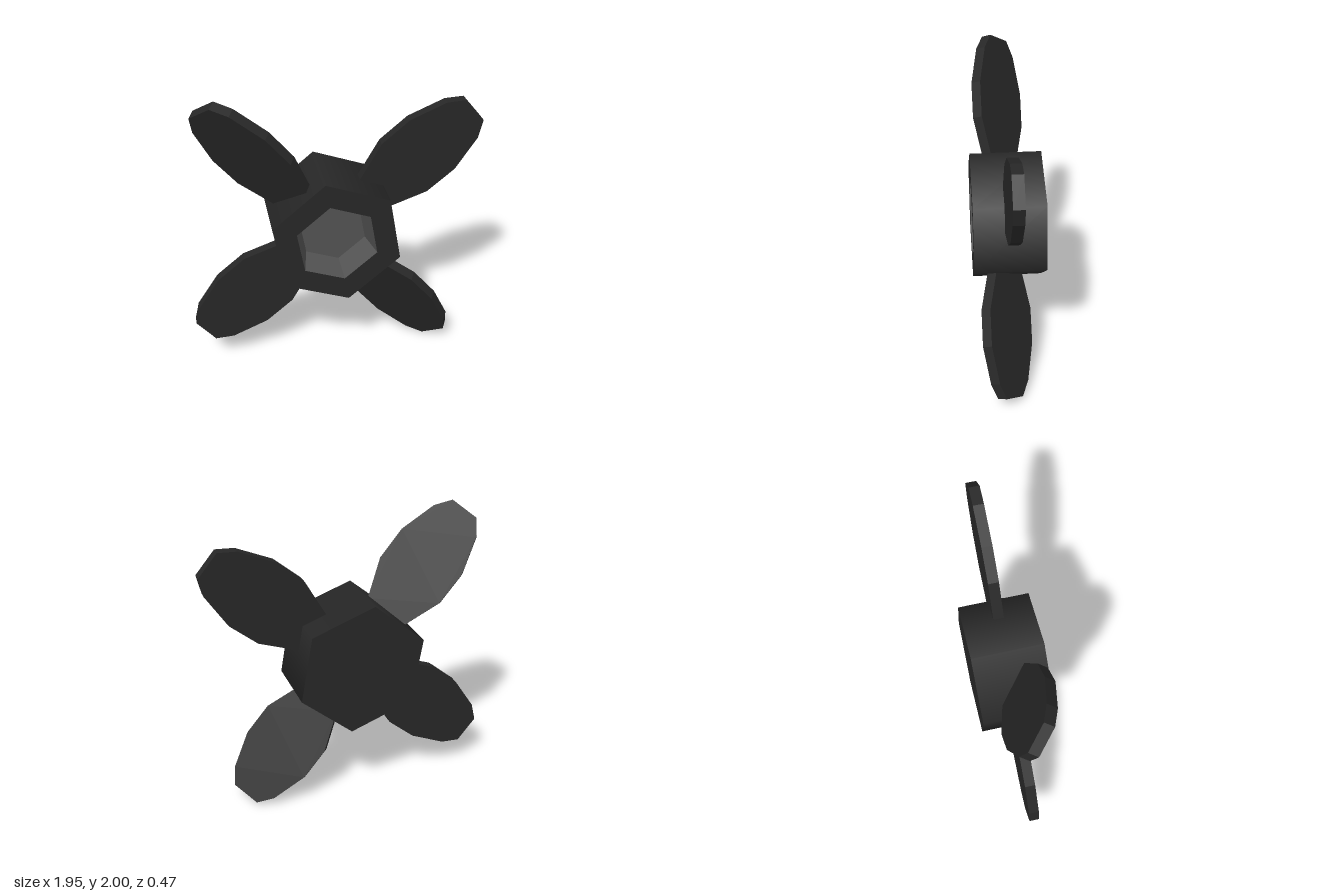
import * as THREE from 'three';

const deg = THREE.MathUtils.degToRad;

// Six-sided lathe turned so that its axis points to +z
function hexLathe(points, flat) {
  const profile = points.map(([r, z]) => new THREE.Vector2(r, z));
  let geometry = new THREE.LatheGeometry(profile, 6, deg(130)).rotateX(Math.PI / 2);
  if (flat) {
    geometry = geometry.toNonIndexed();
    geometry.computeVertexNormals();
  }
  return geometry;
}

// Flat leaf-shaped blade along +x, starting at the hub
function bladeGeometry() {
  const half = [[0.336, 0.15], [0.6, 0.248], [0.836, 0.249], [1.084, 0.174], [1.185, 0.098]];
  const outline = [
    ...half.map(([u, v]) => new THREE.Vector2(u, -v)),
    ...half.slice().reverse().map(([u, v]) => new THREE.Vector2(u, v)),
  ];
  const geometry = new THREE.ExtrudeGeometry(new THREE.Shape(outline), { depth: 0.07, bevelEnabled: false });
  return geometry.translate(0, 0, -0.035);
}

export function createModel() {
  const model = new THREE.Group();
  model.name = 'propeller';

  const black = new THREE.MeshStandardMaterial({ color: 0x272727 });
  black.name = 'black';
  const grey = new THREE.MeshStandardMaterial({ color: 0x525252 });
  grey.name = 'grey';

  // Hexagonal hub with a tapered recess in the front
  const hub = new THREE.Group();
  hub.name = 'hub';
  hub.position.set(-0.023, 1.01, 0);
  const hubParts = [
    ['hubBack', [[0, -0.235], [0.45, -0.235]], true, black],
    ['hubSides', [[0.45, -0.235], [0.45, 0.235]], false, black],
    ['hubRim', [[0.45, 0.235], [0.283, 0.235]], true, black],
    ['hubRecess', [[0.283, 0.235], [0.235, 0.055], [0, 0.055]], true, grey],
  ];
  for (const [name, points, flat, material] of hubParts) {
    const mesh = new THREE.Mesh(hexLathe(points, flat), material);
    mesh.name = name;
    hub.add(mesh);
  }
  model.add(hub);

  // Two level blades and two pitched blades: name, centre, angle, pitch, outward shift
  const blades = [
    ['upperLeftBlade', [0, 1.03, 0], 39.8, 0, 0],
    ['lowerRightBlade', [0, 1.03, 0], 219.8, 0, 0],
    ['upperRightBlade', [-0.045, 1.0, 0.025], 129.8, -36, 0.033],
    ['lowerLeftBlade', [-0.045, 1.0, 0.025], -50.2, 36, 0.033],
  ];
  const geometry = bladeGeometry();
  for (const [name, centre, angle, pitch, shift] of blades) {
    const blade = new THREE.Mesh(geometry, black);
    blade.name = name;
    blade.position.set(...centre);
    blade.rotation.set(deg(pitch), 0, deg(angle), 'ZXY');
    blade.translateX(shift);
    model.add(blade);
  }

  return model;
}
